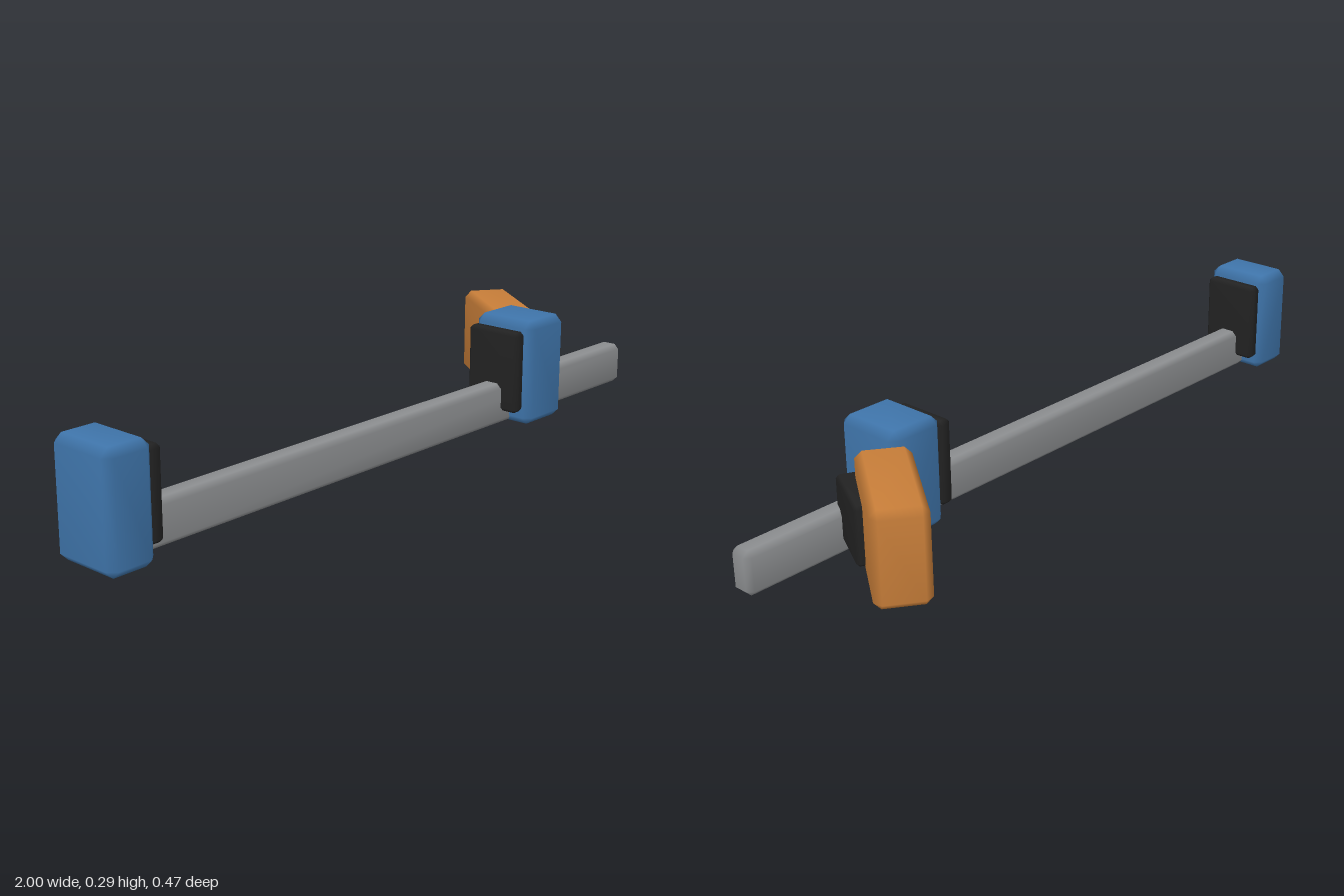
import * as THREE from 'three';
import { ConvexGeometry } from 'three/addons/geometries/ConvexGeometry.js';
import { mergeVertices } from 'three/addons/utils/BufferGeometryUtils.js';

// Box with single-step chamfers on every edge and smooth normals
function chamferBox(w, h, d, c) {
  const half = [w / 2, h / 2, d / 2];
  const points = [];
  for (const sx of [-1, 1]) for (const sy of [-1, 1]) for (const sz of [-1, 1]) {
    for (let axis = 0; axis < 3; axis++) {
      const e = half.map((v, i) => (i === axis ? v : v - c));
      points.push(new THREE.Vector3(sx * e[0], sy * e[1], sz * e[2]));
    }
  }
  const hull = new ConvexGeometry(points);
  hull.deleteAttribute('normal');
  const geometry = mergeVertices(hull, 1e-5);
  geometry.computeVertexNormals();
  return geometry;
}

function material(name, color) {
  const m = new THREE.MeshStandardMaterial({ color });
  m.name = name;
  return m;
}

export function createModel() {
  const model = new THREE.Group();
  model.name = 'barClamp';
  const blue = material('jawBlue', 0x3f75ab);
  const black = material('rubberBlack', 0x222222);
  const steel = material('steelGrey', 0x8c8e90);
  const orange = material('handleOrange', 0xc87e39);

  function part(name, mat, size, centre, chamfer, turn = 0) {
    const mesh = new THREE.Mesh(chamferBox(...size, chamfer), mat);
    mesh.name = name;
    mesh.position.set(...centre);
    mesh.rotation.y = turn;
    model.add(mesh);
  }

  // Long flat bar
  part('bar', steel, [1.885, 0.114, 0.065], [0.0575, 0.06, 0.1365], 0.014);

  // Fixed and sliding jaws with their facing pads
  part('fixedJaw', blue, [0.13, 0.29, 0.193], [-0.935, 0.145, 0.137], 0.02);
  part('slidingJaw', blue, [0.16, 0.29, 0.193], [0.53, 0.145, 0.137], 0.02);
  part('fixedPad', black, [0.04, 0.225, 0.165], [-0.855, 0.153, 0.134], 0.01);
  part('slidingPad', black, [0.04, 0.225, 0.165], [0.43, 0.153, 0.134], 0.01);

  // Angled handle and trigger behind the sliding jaw
  part('handle', orange, [0.135, 0.245, 0.343], [0.716, 0.137, -0.066], 0.018, -0.625);
  part('trigger', black, [0.058, 0.154, 0.19], [0.72, 0.117, 0.05], 0.008, -0.49);

  return model;
}
